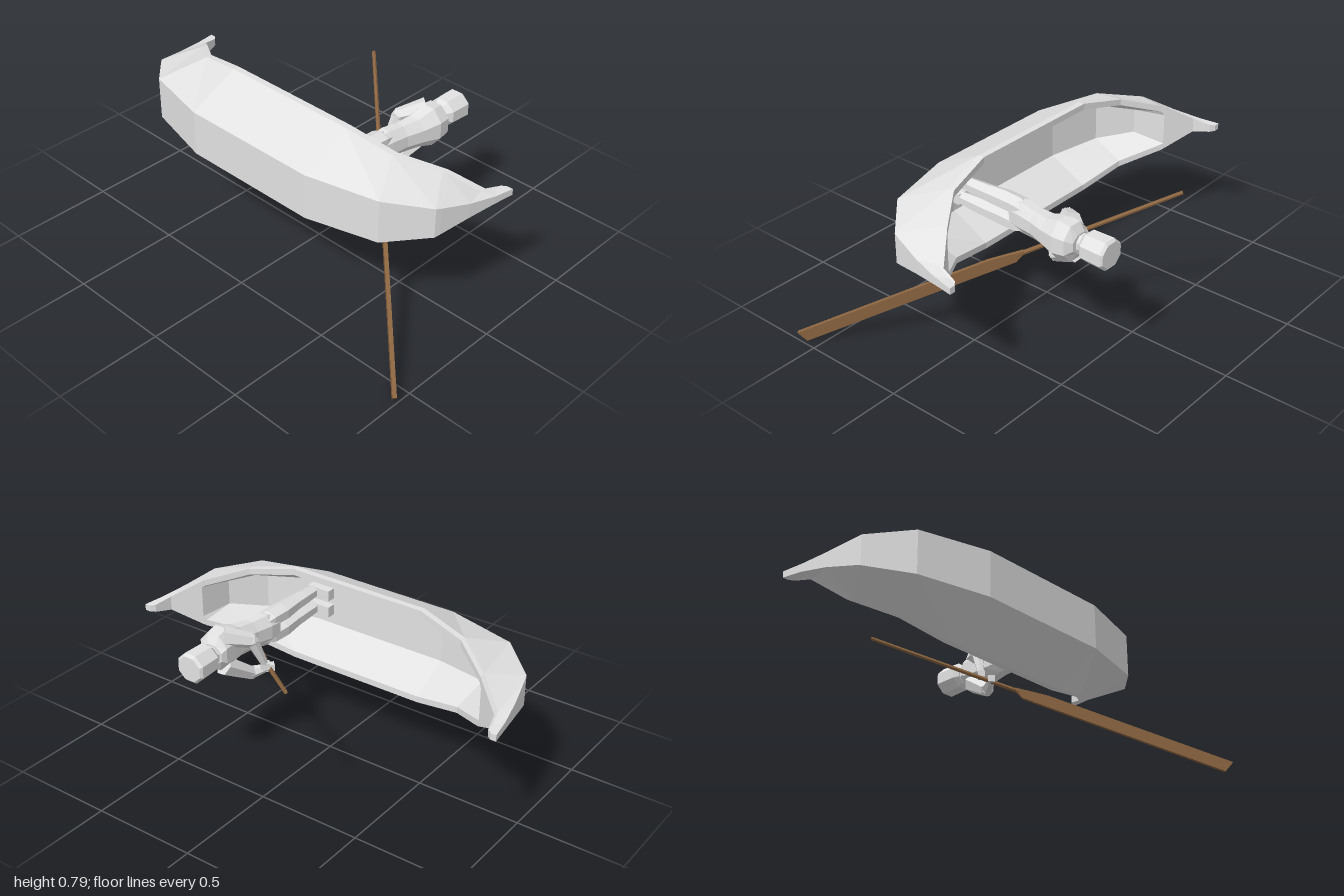
import * as THREE from 'three';

const grey = new THREE.MeshStandardMaterial({ color: 0xe2e2e2 });
grey.name = 'pale grey';
const brown = new THREE.MeshStandardMaterial({ color: 0x8a6440 });
brown.name = 'brown wood';

const V = (x, y, z) => new THREE.Vector3(x, y, z);

function add(parent, name, geometry, material = grey) {
  const flat = geometry.index ? geometry.toNonIndexed() : geometry;
  flat.computeVertexNormals();
  const mesh = new THREE.Mesh(flat, material);
  mesh.name = name;
  parent.add(mesh);
  return mesh;
}

// Skin a row of closed rings and cap both ends
function skin(rings) {
  const n = rings[0].length, pos = [], index = [];
  rings.forEach(r => r.forEach(p => pos.push(p.x, p.y, p.z)));
  for (let i = 0; i < rings.length - 1; i++) {
    for (let j = 0; j < n; j++) {
      const a = i * n + j, b = i * n + (j + 1) % n;
      index.push(a, b, b + n, a, b + n, a + n);
    }
  }
  const last = (rings.length - 1) * n;
  for (let j = 1; j < n - 1; j++) index.push(0, j + 1, j, last, last + j, last + j + 1);
  const g = new THREE.BufferGeometry();
  g.setAttribute('position', new THREE.Float32BufferAttribute(pos, 3));
  g.setIndex(index);
  return g;
}

// Body section rows: [centre x, centre y, z, radius x, radius y], z ascending
function body(rows, sides = 8) {
  return skin(rows.map(([cx, cy, z, rx, ry]) => Array.from({ length: sides }, (_, j) => {
    const a = (j + 0.5) / sides * Math.PI * 2, k = 1 / Math.cos(Math.PI / sides);
    return V(cx + Math.cos(a) * rx * k, cy + Math.sin(a) * ry * k, z);
  })));
}

// Tapered rod between two points
function rod(parent, name, a, b, ra, rb, sides, material) {
  const m = add(parent, name, new THREE.CylinderGeometry(rb, ra, a.distanceTo(b), sides), material);
  m.position.copy(a).add(b).multiplyScalar(0.5);
  m.quaternion.setFromUnitVectors(V(0, 1, 0), b.clone().sub(a).normalize());
}

// The canoe lies on its side, its bottom towards +z
function makeHull(root) {
  const cx = -0.055, cy = 0.57;
  // rim: u, z, half width, inner half width; keel: u, z, half width; floor: u, z, half width
  // The floor rises to rim height at the fourth station, closing the well with an end deck
  const stations = [
    { rim: [0.345, 0.11, 0.23, 0.2], keel: [0.345, 0.385, 0.11], floor: [0.345, 0.3, 0.105] },
    { rim: [0.575, 0.07, 0.18, 0.15], keel: [0.685, 0.3, 0.104], floor: [0.6, 0.235, 0.09] },
    { rim: [0.745, -0.05, 0.12, 0.09], keel: [0.855, 0.145, 0.072], floor: [0.73, 0.1, 0.06] },
    { rim: [0.757, -0.06, 0.113, 0.083], keel: [0.863, 0.12, 0.066], floor: [0.757, -0.06, 0.07] },
    { rim: [0.875, -0.15, 0.034, 0.014], keel: [0.9, -0.02, 0.036], floor: [0.875, -0.15, 0.01] },
    { rim: [0.897, -0.232, 0.018, 0.01], keel: [0.928, -0.15, 0.019], floor: [0.897, -0.232, 0.006] },
    { rim: [0.918, -0.25, 0.015, 0.008], keel: [0.945, -0.25, 0.015], floor: [0.918, -0.25, 0.006] },
  ];
  const ring = (s, side) => {
    const [ru, rz, rw, iw] = s.rim, [ku, kz, kw] = s.keel, [fu, fz, fw] = s.floor;
    const lip = Math.min(0.03, (kz - rz) * 0.5);
    const p = (u, w, z) => V(cx + side * u, cy + w, z);
    return [
      p(ru, rw, rz), p(ru, rw, rz + lip), p(ku, kw, kz), p(ku, -kw, kz), p(ru, -rw, rz + lip),
      p(ru, -rw, rz), p(ru, -iw, rz), p(fu, -fw, fz), p(fu, fw, fz), p(ru, iw, rz),
    ];
  };
  const rings = [
    ...[...stations].reverse().map(s => ring(s, -1)),
    ...stations.map(s => ring(s, 1)),
  ];
  add(root, 'canoeHull', skin(rings));
}

// The rower stands on the canoe floor, head towards -z, facing -x
function makeRower(root) {
  const g = new THREE.Group();
  g.name = 'rower';
  add(g, 'head', body([
    [0.305, 0.598, -0.6, 0.06, 0.056], [0.305, 0.598, -0.588, 0.069, 0.067],
    [0.305, 0.6, -0.485, 0.066, 0.064], [0.305, 0.6, -0.462, 0.045, 0.045],
  ]));
  add(g, 'neck', body([[0.305, 0.598, -0.48, 0.038, 0.04], [0.305, 0.598, -0.42, 0.038, 0.04]]));
  add(g, 'torso', body([
    [0.31, 0.6, -0.445, 0.055, 0.045], [0.32, 0.6, -0.42, 0.075, 0.085],
    [0.325, 0.6, -0.36, 0.078, 0.095], [0.315, 0.597, -0.28, 0.062, 0.072],
    [0.3, 0.594, -0.2, 0.05, 0.068], [0.285, 0.592, -0.12, 0.052, 0.074],
    [0.28, 0.59, -0.06, 0.045, 0.064],
  ]));
  for (const side of [-1, 1]) {
    const y = 0.59 + side * 0.042;
    add(g, 'leg', body([
      [0.287, 0.59 + side * 0.032, -0.15, 0.035, 0.025], [0.283, y, -0.09, 0.046, 0.034],
      [0.28, y, 0, 0.046, 0.036], [0.285, y, 0.1, 0.038, 0.032],
      [0.285, y, 0.17, 0.034, 0.03], [0.285, y, 0.26, 0.027, 0.026],
    ], 6));
    add(g, 'foot', new THREE.BoxGeometry(0.12, 0.052, 0.045)).position.set(0.252, y, 0.268);
  }
  // Arms reach forward and meet on the paddle shaft
  const arms = [
    [V(0.295, 0.665, -0.385), V(0.212, 0.632, -0.29), V(0.185, 0.49, -0.235)],
    [V(0.29, 0.53, -0.395), V(0.25, 0.442, -0.26), V(0.2, 0.455, -0.185)],
  ];
  for (const [shoulder, elbow, hand] of arms) {
    rod(g, 'upperArm', shoulder, elbow, 0.048, 0.033, 6);
    add(g, 'elbow', new THREE.IcosahedronGeometry(0.033, 0)).position.copy(elbow);
    rod(g, 'forearm', elbow, hand, 0.03, 0.016, 6);
    const h = add(g, 'hand', new THREE.BoxGeometry(0.04, 0.033, 0.033));
    h.position.copy(hand);
    h.rotation.y = 0.8;
  }
  root.add(g);
}

function makePaddle(root) {
  const tail = V(0.99, 0.028, 0.583), grip = V(-0.21, 0.665, -0.588);
  const g = new THREE.Group();
  g.name = 'paddle';
  rod(g, 'paddleShaft', tail.clone().lerp(grip, 0.57), grip, 0.011, 0.009, 6, brown);
  // Long blade with a tapered shoulder
  const outline = [[0.01, -0.028], [1.01, -0.028], [1.06, 0], [1.06, 0.01], [0.9, 0.028], [-0.01, 0.028]];
  const shape = new THREE.Shape(outline.map(p => new THREE.Vector2(...p)));
  const blade = new THREE.ExtrudeGeometry(shape, { depth: 0.018, bevelEnabled: false });
  blade.translate(0, 0, -0.009).rotateY(-Math.PI / 2);
  const b = add(g, 'paddleBlade', blade, brown);
  b.position.copy(tail);
  b.lookAt(grip);
  root.add(g);
}

export function createModel() {
  const root = new THREE.Group();
  root.name = 'canoeWithRower';
  makeHull(root);
  makeRower(root);
  makePaddle(root);
  return root;
}
